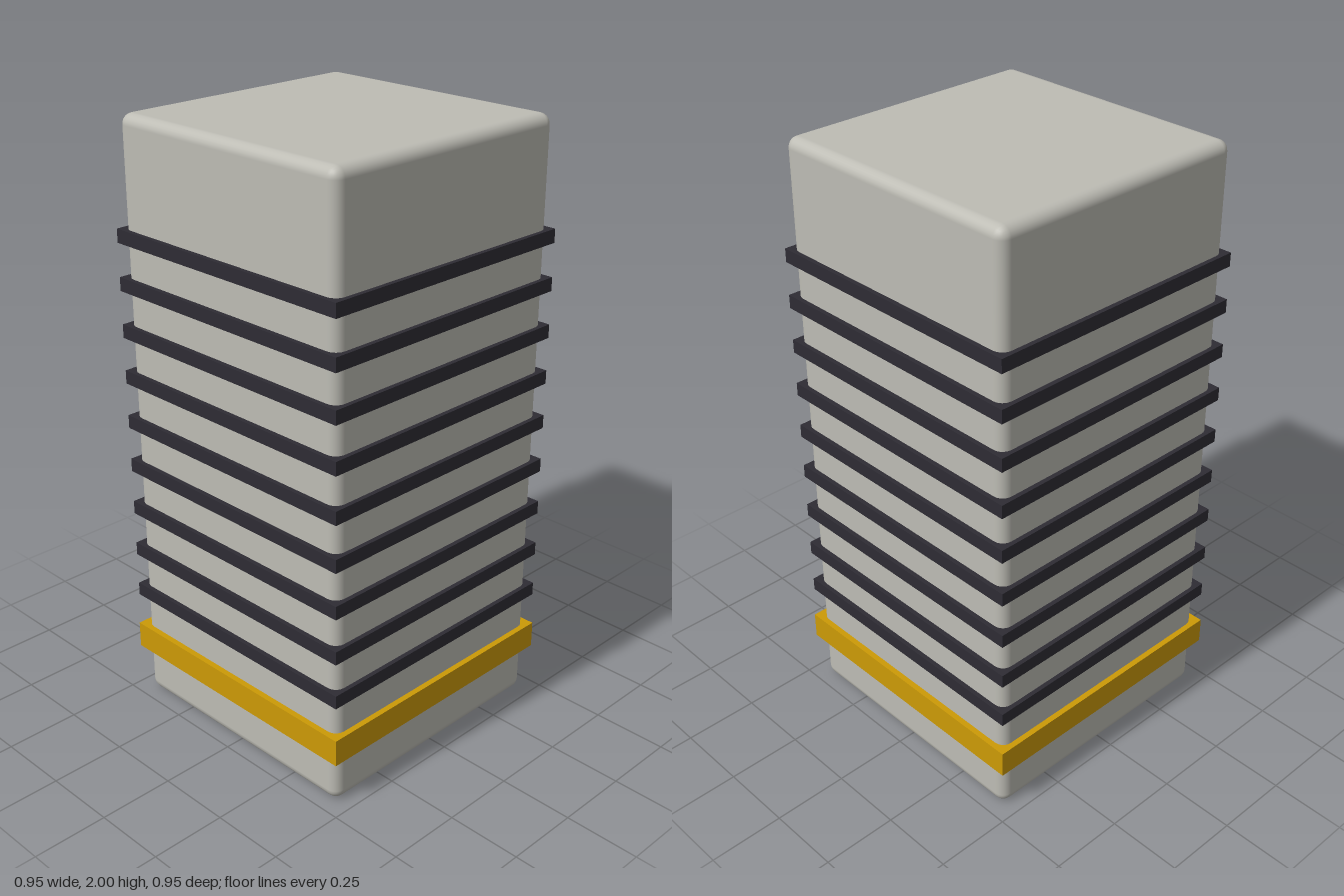
import * as THREE from 'three';
import { RoundedBoxGeometry } from 'three/addons/geometries/RoundedBoxGeometry.js';

export function createModel() {
  const model = new THREE.Group();
  model.name = 'bandedTower';

  const material = (name, color) => {
    const m = new THREE.MeshStandardMaterial({ color });
    m.name = name;
    return m;
  };
  const grey = material('warm grey', 0xbdbcb4);
  const dark = material('charcoal', 0x2e2c34);
  const gold = material('gold', 0xcc9a06);

  const add = (name, geometry, mat, y) => {
    const mesh = new THREE.Mesh(geometry, mat);
    mesh.name = name;
    mesh.position.y = y;
    model.add(mesh);
  };

  // Tall block with softly rounded edges
  add('body', new RoundedBoxGeometry(0.908, 2, 0.908, 3, 0.035), grey, 1);

  // Evenly spaced square ribs
  const rib = new THREE.BoxGeometry(0.938, 0.045, 0.938);
  for (let i = 0; i < 9; i++) add(`rib${i + 1}`, rib, dark, 0.388 + i * 0.1545);

  // Wider accent band near the base
  add('accentBand', new THREE.BoxGeometry(0.947, 0.09, 0.947), gold, 0.208);

  return model;
}
